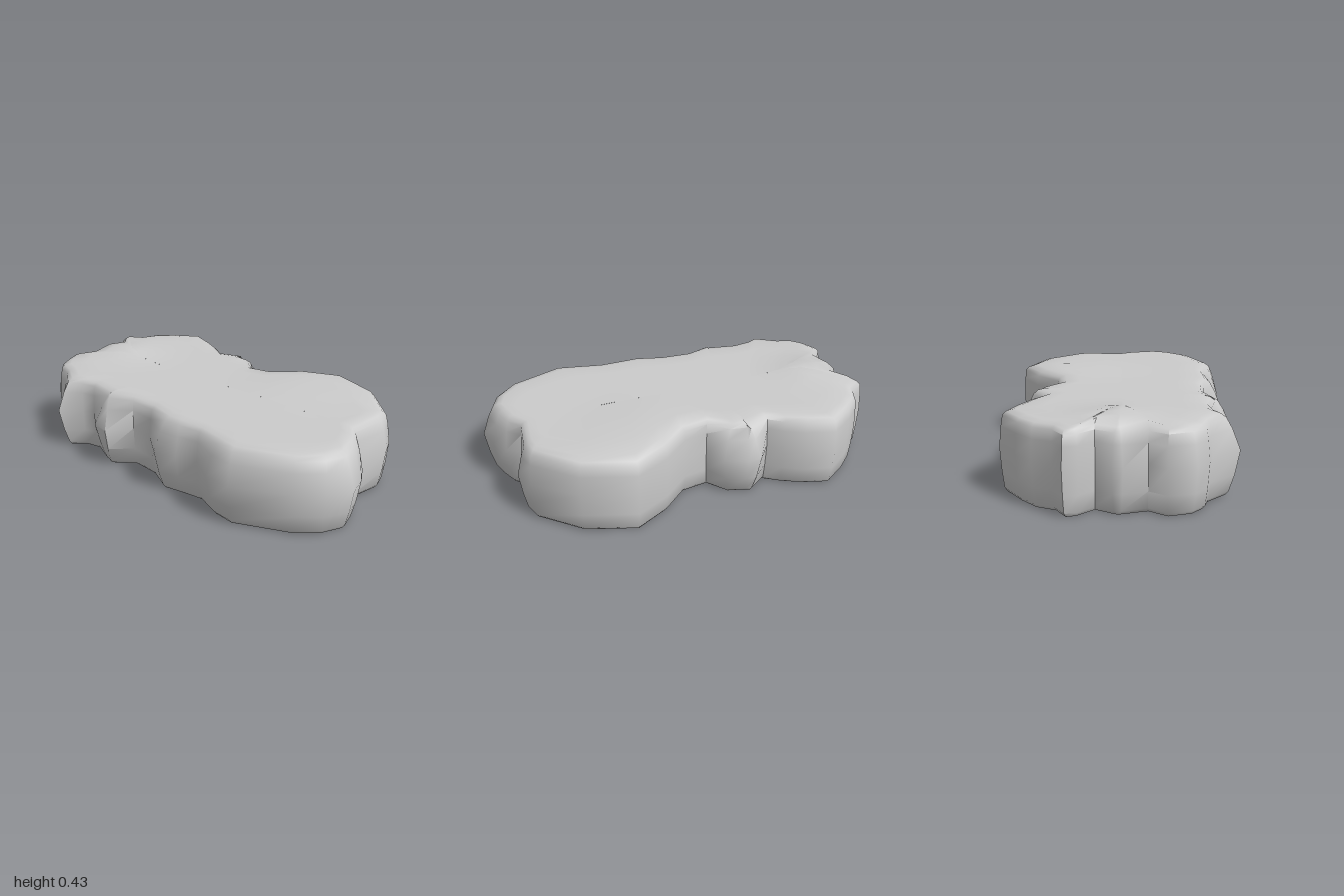
import * as THREE from 'three';
import { toCreasedNormals } from 'three/addons/utils/BufferGeometryUtils.js';

// Widest outline of the slab seen from above: x, z, and how far the rim steps in at the top.
const OUTLINE = [
  [-0.32, -0.98, 0.04], [-0.19, -1.0, 0.01], [-0.11, -0.94, 0.01], [0, -0.99, 0.04], [0.05, -0.98, 0.03],
  [0.12, -0.92, 0.01], [0.19, -0.99, 0.01], [0.26, -1.0, 0.01], [0.31, -0.92, 0.01], [0.4, -0.88, 0.01],
  [0.48, -0.79, 0.01], [0.57, -0.66, 0.02], [0.53, -0.51, 0.03], [0.47, -0.41, 0.02], [0.41, -0.35, 0.01],
  [0.51, -0.27, 0.08], [0.51, -0.2, 0.09], [0.46, -0.09, 0.07], [0.34, -0.04, 0.01], [0.36, 0.08, 0.01],
  [0.48, 0.22, 0.01], [0.57, 0.4, 0.01], [0.48, 0.66, 0.01], [0.3, 0.86, 0.03], [0.2, 0.9, 0.05],
  [0.01, 0.84, 0.01], [-0.04, 0.91, 0.04], [-0.13, 0.96, 0.06], [-0.24, 0.99, 0.07], [-0.36, 0.92, 0.05],
  [-0.45, 0.8, 0.03], [-0.58, 0.53, 0.06], [-0.57, 0.39, 0.07], [-0.49, 0.26, 0.02], [-0.52, 0.15, 0.05],
  [-0.55, 0.03, 0.08], [-0.45, -0.1, 0.02], [-0.43, -0.24, 0.01], [-0.55, -0.33, 0.1], [-0.53, -0.43, 0.09],
  [-0.43, -0.55, 0.01], [-0.45, -0.62, 0.02], [-0.54, -0.72, 0.08], [-0.4, -0.83, 0.02], [-0.38, -0.9, 0.02],
];

// Side bands: height, share of the rim step, extra inset.
const BANDS = [
  [0, 0.5, 0.022], [0.018, 0.5, 0.008], [0.1, 0.25, 0.003], [0.22, 0, 0],
  [0.32, 0.5, 0], [0.372, 0.85, 0.002], [0.39, 1, 0.018],
];

const bump = (x, z, cx, cz, r) => Math.exp(-((x - cx) ** 2 + (z - cz) ** 2) / (r * r));
const topHeight = (x, z) =>
  0.398 + 0.03 * bump(x, z, 0.03, -0.77, 0.17) + 0.022 * bump(x, z, 0.28, 0.33, 0.22);

function slabGeometry() {
  const n = OUTLINE.length;

  // Outward direction at each outline point
  const normals = OUTLINE.map((_, i) => {
    const a = OUTLINE[(i + n - 1) % n], b = OUTLINE[(i + 1) % n];
    return new THREE.Vector2(b[1] - a[1], a[0] - b[0]).normalize();
  });
  const band = ([y, share, extra]) => OUTLINE.map(([x, z, step], i) => {
    const d = step * share + extra;
    return [x - normals[i].x * d, y, z - normals[i].y * d];
  });
  // Loop drawn in towards the long middle line, to close the flat faces
  const inward = (loop, t, height) => loop.map(([x, , z]) => {
    const px = x * (1 - t), pz = z * (1 - 0.3 * t);
    return [px, height(px, pz), pz];
  });

  const sides = BANDS.map(band);
  const top = sides[sides.length - 1];
  const loops = [
    inward(sides[0], 1, () => 0),
    ...sides,
    ...[0.08, 0.3, 0.55, 0.8, 1].map((t) => inward(top, t, topHeight)),
  ];

  const index = [];
  for (let r = 0; r < loops.length - 1; r++) {
    for (let i = 0; i < n; i++) {
      const j = (i + 1) % n;
      const a = r * n + i, b = r * n + j, c = a + n, d = b + n;
      index.push(a, c, b, b, c, d);
    }
  }
  const geometry = new THREE.BufferGeometry();
  geometry.setAttribute('position', new THREE.Float32BufferAttribute(loops.flat(2), 3));
  geometry.setIndex(index);
  return toCreasedNormals(geometry, 1.0);
}

export function createModel() {
  const model = new THREE.Group();
  model.name = 'rockPlatform';
  const slab = new THREE.Mesh(slabGeometry(), new THREE.MeshStandardMaterial({ color: 0xcccccc }));
  slab.name = 'rockSlab';
  model.add(slab);
  return model;
}
